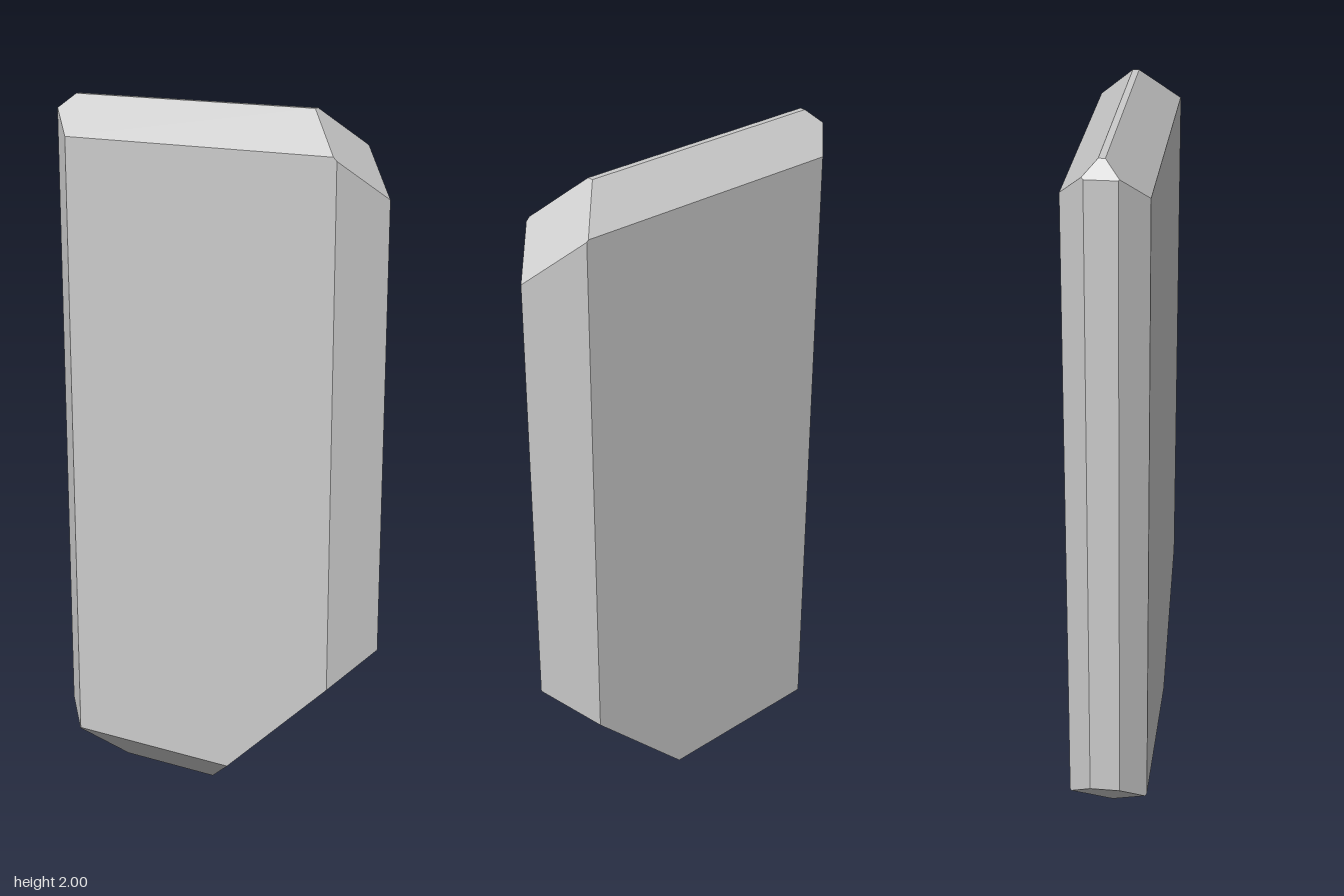
import * as THREE from 'three';
import { ConvexGeometry } from 'three/addons/geometries/ConvexGeometry.js';

// Each facet keeps the points where normal . p <= distance: [nx, ny, nz, distance]
const facets = [
  [0, 0, 1, 0.11], [0, 0, -1, 0.11],                        // front and back
  [0, 1, 0, 2], [0, 1, 1, 2.005], [0, 1, -1, 2.012],        // top strip and its bevels
  [-1, 0, 0, 0.5], [-1, 0, 1, 0.54], [-1, 0, -1, 0.543],    // narrow side and its bevels
  [1, 0, 1, 0.505], [1, 0, -1, 0.493],                      // pointed side
  [0, -1, 1, 0], [0, -1, -1, 0],                            // bottom ridge
  [1, 1, 0, 2.28], [-1, 1, 0, 2.46],                        // upper corner cuts
  [1, -1, 0, -0.03], [-1, -1, 0, 0.33],                     // lower corner cuts
];

// Corners of the solid: points where three facets meet, inside all the others
function facetCorners(list) {
  const planes = list.map(([x, y, z, d]) => ({ n: new THREE.Vector3(x, y, z), d }));
  const corners = [];
  for (let i = 0; i < planes.length; i++)
    for (let j = i + 1; j < planes.length; j++)
      for (let k = j + 1; k < planes.length; k++) {
        const [a, b, c] = [planes[i], planes[j], planes[k]];
        const bc = b.n.clone().cross(c.n);
        const det = a.n.dot(bc);
        if (Math.abs(det) < 1e-6) continue;
        const p = bc.multiplyScalar(a.d)
          .addScaledVector(c.n.clone().cross(a.n), b.d)
          .addScaledVector(a.n.clone().cross(b.n), c.d)
          .divideScalar(det);
        const inside = planes.every(({ n, d }) => n.dot(p) <= d + 1e-6);
        if (inside && !corners.some((q) => q.distanceTo(p) < 1e-4)) corners.push(p);
      }
  return corners;
}

export function createModel() {
  const group = new THREE.Group();
  group.name = 'facetedSlab';

  // Flat slab with bevelled edges and cut corners
  const material = new THREE.MeshStandardMaterial({ color: 0xcccccc, flatShading: true });
  const slab = new THREE.Mesh(new ConvexGeometry(facetCorners(facets)), material);
  slab.name = 'slab';
  group.add(slab);
  return group;
}
